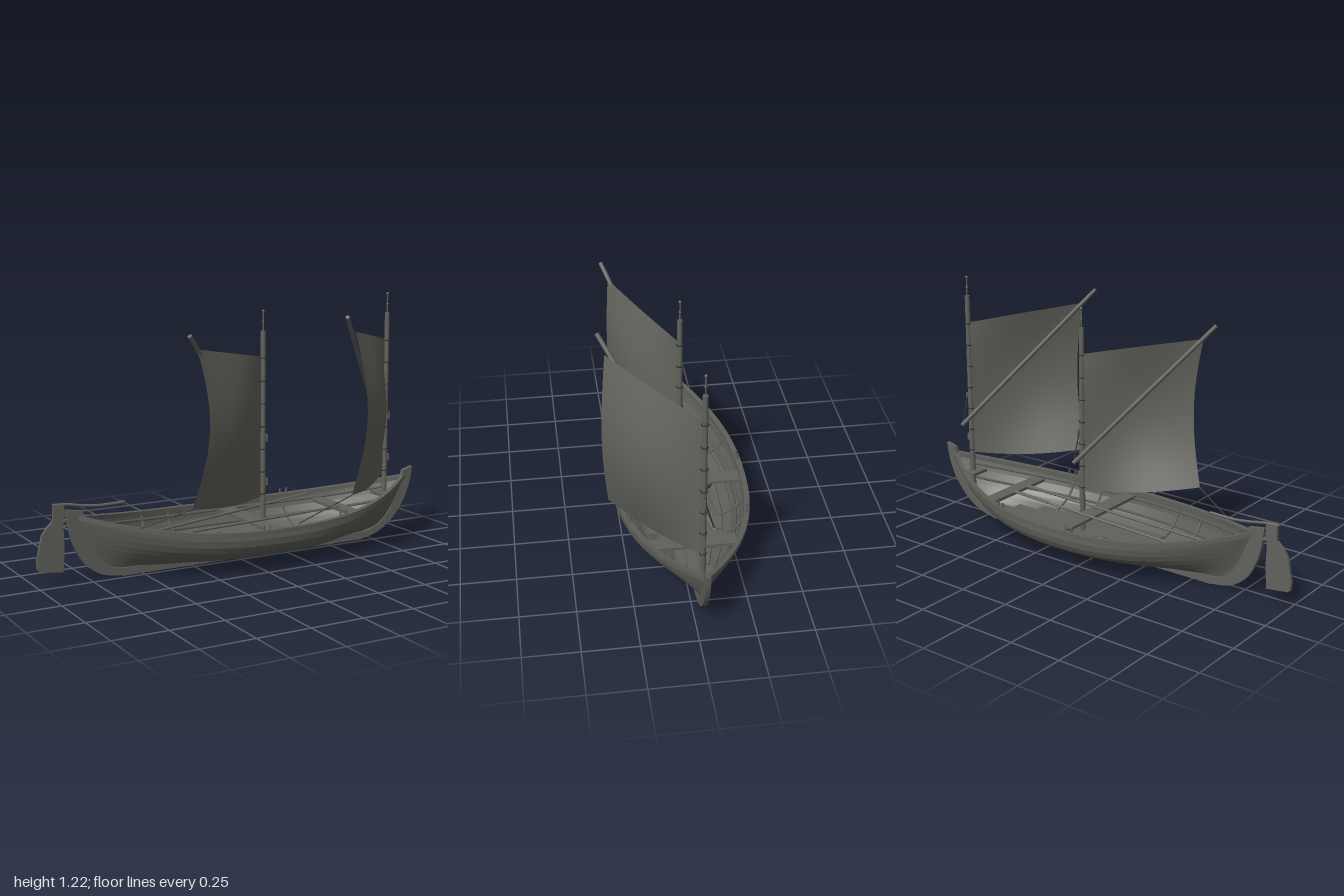
import * as THREE from 'three';
import { toCreasedNormals } from 'three/addons/utils/BufferGeometryUtils.js';

const mat = (name, color, side = THREE.FrontSide) => {
  const m = new THREE.MeshStandardMaterial({ color, side });
  m.name = name;
  return m;
};
const V = (x, y, z) => new THREE.Vector3(x, y, z);
const ZC = -0.035; // centreline of the boat

// Surface from a rule fn(a, b) with a, b in 0..1
function grid(na, nb, fn) {
  const pos = [], idx = [];
  for (let i = 0; i <= na; i++) for (let j = 0; j <= nb; j++) pos.push(...fn(i / na, j / nb).toArray());
  for (let i = 0; i < na; i++) for (let j = 0; j < nb; j++) {
    const a = i * (nb + 1) + j, b = a + nb + 1;
    idx.push(a, b, a + 1, b, b + 1, a + 1);
  }
  const g = new THREE.BufferGeometry();
  g.setAttribute('position', new THREE.Float32BufferAttribute(pos, 3));
  g.setIndex(idx);
  g.computeVertexNormals();
  return g;
}
// Smooth 2D outline through a few points
const smooth = (pts) => new THREE.SplineCurve(pts.map((p) => new THREE.Vector2(...p))).getPoints(24).map((p) => [p.x, p.y]);

// Hull form: u runs keel to sheer, s runs stern (-1) to bow (1)
const HALF = [0.01, 0.08, 0.14, 0.195, 0.24, 0.275, 0.298, 0.31, 0.313];
const RISE = [0.03, 0.036, 0.045, 0.06, 0.08, 0.105, 0.135, 0.168, 0.2];
const STRAKES = 8;
const sample = (t, u) => {
  const k = Math.min(STRAKES - 1, Math.floor(u * STRAKES));
  return THREE.MathUtils.lerp(t[k], t[k + 1], u * STRAKES - k);
};
const ends = (u) => {
  const c = Math.pow(u, 0.36);
  return [-0.59 - 0.22 * c, 0.68 + 0.28 * c];
};
function hull(u, s) {
  const [a, b] = ends(u), e = Math.abs(s), y = sample(RISE, u);
  const w = Math.pow(Math.max(0, 1 - Math.pow(e, 2.3)), 1 + 0.5 * (1 - u));
  return { x: (a + b) / 2 + s * (b - a) / 2, y: y + (0.03 + 0.27 * u - y) * Math.pow(e, 2.5), h: sample(HALF, u) * w };
}
const atX = (u, x) => {
  const [a, b] = ends(u);
  return hull(u, THREE.MathUtils.clamp((2 * x - a - b) / (b - a), -1, 1));
};
function halfAt(x, y) {
  let lo = 0, hi = 1;
  for (let i = 0; i < 24; i++) {
    const m = (lo + hi) / 2;
    if (atX(m, x).y < y) lo = m; else hi = m;
  }
  return atX(lo, x).h;
}

export function createModel() {
  const root = new THREE.Group();
  root.name = 'sailingBoat';
  const wood = mat('wood', 0x61615c), planking = mat('planking', 0x5f5f5a, THREE.DoubleSide);
  const cloth = mat('sailcloth', 0x63635d, THREE.DoubleSide), rope = mat('rope', 0x31311f);

  const add = (name, geo, m = wood) => {
    const mesh = new THREE.Mesh(geo, m);
    mesh.name = name;
    root.add(mesh);
    return mesh;
  };
  const box = (name, w, h, d, x, y, z) => {
    const b = add(name, new THREE.BoxGeometry(w, h, d));
    b.position.set(x, y, z);
    return b;
  };
  const rod = (name, a, b, r, r2 = r, m = wood) => {
    const d = b.clone().sub(a);
    const c = add(name, new THREE.CylinderGeometry(r2, r, d.length(), 10), m);
    c.position.copy(a).addScaledVector(d, 0.5);
    c.quaternion.setFromUnitVectors(V(0, 1, 0), d.normalize());
    return c;
  };
  const tube = (name, pts, r, m, sides = 6, n = 40) =>
    add(name, new THREE.TubeGeometry(new THREE.CatmullRomCurve3(pts), n, r, sides), m);
  const plate = (name, pts, depth) => {
    const g = new THREE.ExtrudeGeometry(new THREE.Shape(pts.map((p) => new THREE.Vector2(...p))),
      { depth, bevelEnabled: false });
    g.translate(0, 0, ZC - depth / 2);
    return add(name, toCreasedNormals(g, 0.6));
  };

  for (const side of [1, -1]) {
    // Overlapping strakes: each lower edge stands proud of the one beneath
    const edge = (k, s, out) => {
      const p = hull(k / STRAKES, s), f = out * Math.min(1, (1 - Math.abs(s)) * 8), flare = k / STRAKES;
      return V(p.x, p.y - f * (1 - 0.7 * flare), ZC + side * (p.h + f * (0.3 + 0.7 * flare)));
    };
    for (let k = 0; k < STRAKES; k++) {
      const lip = k ? 0.007 : 0;
      add('strake', grid(56, 1, (a, b) => edge(k + b, a * 2 - 1, lip * (1 - b))), planking);
      if (k) add('strakeLap', grid(56, 1, (a, b) => edge(k, a * 2 - 1, lip * b)), planking);
    }
    // Gunwale: rectangular rail along the sheer
    const rect = [[-0.022, -0.016], [0.004, -0.016], [0.004, 0.004], [-0.022, 0.004], [-0.022, -0.016]];
    add('gunwale', toCreasedNormals(grid(56, 4, (a, b) => {
      const p = hull(1, a * 2 - 1), [o, h] = rect[Math.round(b * 4)];
      return V(p.x, p.y + h, ZC + side * Math.max(0, p.h + o));
    }), 0.6), planking);
    // Inner stringers
    for (const u of [0.6, 0.84]) {
      const pts = [];
      for (let i = 0; i <= 16; i++) {
        const p = hull(u, -0.92 + i * 0.115);
        pts.push(V(p.x, p.y + 0.004, ZC + side * (p.h - 0.009)));
      }
      tube('stringer', pts, 0.007, wood, 4);
    }
    // Ribs
    for (const x of [-0.39, -0.23, 0.24, 0.4]) {
      const pts = [];
      for (let i = 0; i <= 8; i++) {
        const p = atX(0.05 + i * 0.115, x);
        pts.push(V(x, p.y + 0.006, ZC + side * Math.max(0, p.h - 0.006)));
      }
      tube('rib', pts, 0.007, wood, 4, 16);
    }
    // Thole pins
    for (const x of [-0.02, 0.41]) for (const dx of [-0.016, 0.016]) {
      const p = atX(1, x + dx), z = ZC + side * (p.h - 0.01);
      rod('tholePin', V(x + dx, p.y - 0.01, z), V(x + dx, p.y + 0.027, z), 0.005);
    }
  }

  // Keel and stems
  box('keel', 1.3, 0.036, 0.02, 0.05, 0.018, ZC);
  plate('bowStem', [
    ...smooth([[0.64, 0], [0.72, 0.006], [0.8, 0.03], [0.88, 0.084], [0.95, 0.175], [0.985, 0.26], [1, 0.34]]),
    ...smooth([[0.945, 0.325], [0.933, 0.28], [0.9, 0.2], [0.84, 0.1], [0.75, 0.045], [0.64, 0.034]])], 0.02);
  plate('sternStem', [
    ...smooth([[-0.54, 0.034], [-0.64, 0.045], [-0.71, 0.1], [-0.76, 0.2], [-0.782, 0.28], [-0.78, 0.32]]),
    ...smooth([[-0.86, 0.333], [-0.848, 0.24], [-0.82, 0.15], [-0.77, 0.07], [-0.68, 0.015], [-0.54, 0]])], 0.02);

  // Floorboards, trimmed to the hull
  for (let i = -3; i <= 3; i++) {
    const z = i * 0.05, reach = Math.abs(z) + 0.03;
    let a = -0.6, b = 0.7;
    while (a < 0 && halfAt(a, 0.07) < reach) a += 0.01;
    while (b > 0 && halfAt(b, 0.07) < reach) b -= 0.01;
    box('floorboard', b - a, 0.008, 0.048, (a + b) / 2, 0.07, ZC + z);
  }
  // Thwarts
  for (const [x, w, y] of [[0.085, 0.08, 0.168], [0.565, 0.07, 0.178], [-0.64, 0.03, 0.19], [0.82, 0.07, 0.22]])
    box('thwart', w, 0.014, 2 * Math.min(halfAt(x - w / 2, y), halfAt(x + w / 2, y)) - 0.006, x, y, ZC);

  // Oars laid across the thwarts
  for (const [a, b] of [[V(-0.6, 0.15, -0.08), V(0.45, 0.234, -0.155)], [V(-0.52, 0.165, 0.02), V(0.53, 0.195, 0.015)]]) {
    rod('oarShaft', a, b, 0.006);
    const blade = box('oarBlade', 0.2, 0.006, 0.022, 0, 0, 0);
    blade.position.copy(b).lerp(a, 0.09);
    blade.quaternion.setFromUnitVectors(V(1, 0, 0), b.clone().sub(a).normalize());
  }
  // Coiled rope
  const coil = [];
  for (let i = 0; i <= 60; i++) {
    const r = 0.03 + i * 0.0009, t = i * 0.42;
    coil.push(V(-0.02 + r * Math.cos(t), 0.079, -0.135 + r * Math.sin(t)));
  }
  tube('ropeCoil', coil, 0.0045, rope, 6, 200);

  // Rudder, pintles and tiller
  plate('rudder', [[-0.92, 0.36], [-0.922, 0.29], [-0.95, 0.265], [-0.975, 0.23], [-1, 0.12], [-0.998, 0.08],
    [-0.985, 0.07], [-0.88, 0.057], [-0.872, 0.15], [-0.875, 0.28], [-0.866, 0.3], [-0.868, 0.36]], 0.016);
  box('pintle', 0.04, 0.01, 0.02, -0.86, 0.285, ZC);
  tube('tiller', [V(-0.925, 0.36, ZC), V(-0.86, 0.357, ZC), V(-0.78, 0.343, ZC), V(-0.7, 0.335, ZC), V(-0.58, 0.337, ZC)],
    0.007, wood, 8);

  // Masts, sails, sprits and rigging
  const rigs = [
    { x: 0.835, base: 0.14, top: 1.12, head: 0.99, foot: 0.322, peak: V(0.405, 1.078, 0.32), clew: V(0.4, 0.327, 0.32),
      tip: V(0.345, 1.148, 0.345), heel: V(0.855, 0.47, -0.08), sheet: V(0.16, 0.21, 0.25) },
    { x: 0.135, base: 0.05, top: 1.065, head: 0.945, foot: 0.28, peak: V(-0.35, 1.032, 0.235), clew: V(-0.365, 0.33, 0.21),
      tip: V(-0.4, 1.095, 0.262), heel: V(0.155, 0.42, -0.075), sheet: V(-0.58, 0.25, 0.125) },
  ];
  for (const r of rigs) {
    rod('mast', V(r.x, r.base, ZC), V(r.x, r.top, ZC), 0.014, 0.012);
    rod('mastPole', V(r.x, r.top, ZC), V(r.x, r.top + 0.09, ZC), 0.0035);
    for (const [y, s] of [[0.09, 0.007], [0.04, 0.006]])
      add('mastBall', new THREE.SphereGeometry(s, 10, 8)).position.set(r.x, r.top + y, ZC);
    const tack = V(r.x - 0.012, r.foot, ZC), throat = V(r.x - 0.012, r.head, ZC);
    add('sail', grid(20, 20, (u, v) => {
      const p = tack.clone().lerp(r.clew, u).lerp(throat.clone().lerp(r.peak, u), v);
      const arch = Math.sin(Math.PI * v), belly = 0.045 * Math.sin(Math.PI * u) * (0.1 + 0.9 * arch);
      p.x += 0.65 * belly + 0.06 * u * arch;
      p.z += 0.76 * belly + 0.026 * u * arch;
      p.y -= 0.02 * Math.sin(Math.PI * u) * (1 - v);
      return p;
    }), cloth);
    // Lacing round the mast
    for (let i = 0; i < 7; i++) {
      const ring = add('lacing', new THREE.TorusGeometry(0.0145, 0.0028, 6, 14), rope);
      ring.position.set(r.x, r.head - 0.005 - i * (r.head - r.foot - 0.02) / 6, ZC);
      ring.rotation.set(Math.PI / 2, 0.15, 0);
    }
    rod('sprit', r.heel, r.tip, 0.011, 0.01);
    rod('snotter', r.heel, V(r.x + 0.014, r.heel.y + 0.16, ZC), 0.003, 0.003, rope);
    for (const dy of [-0.07, 0.14]) box('cleat', 0.012, 0.035, 0.012, r.x + 0.018, r.heel.y + dy, ZC);
    rod('sheet', r.clew, r.sheet, 0.003, 0.003, rope);
  }
  return root;
}
